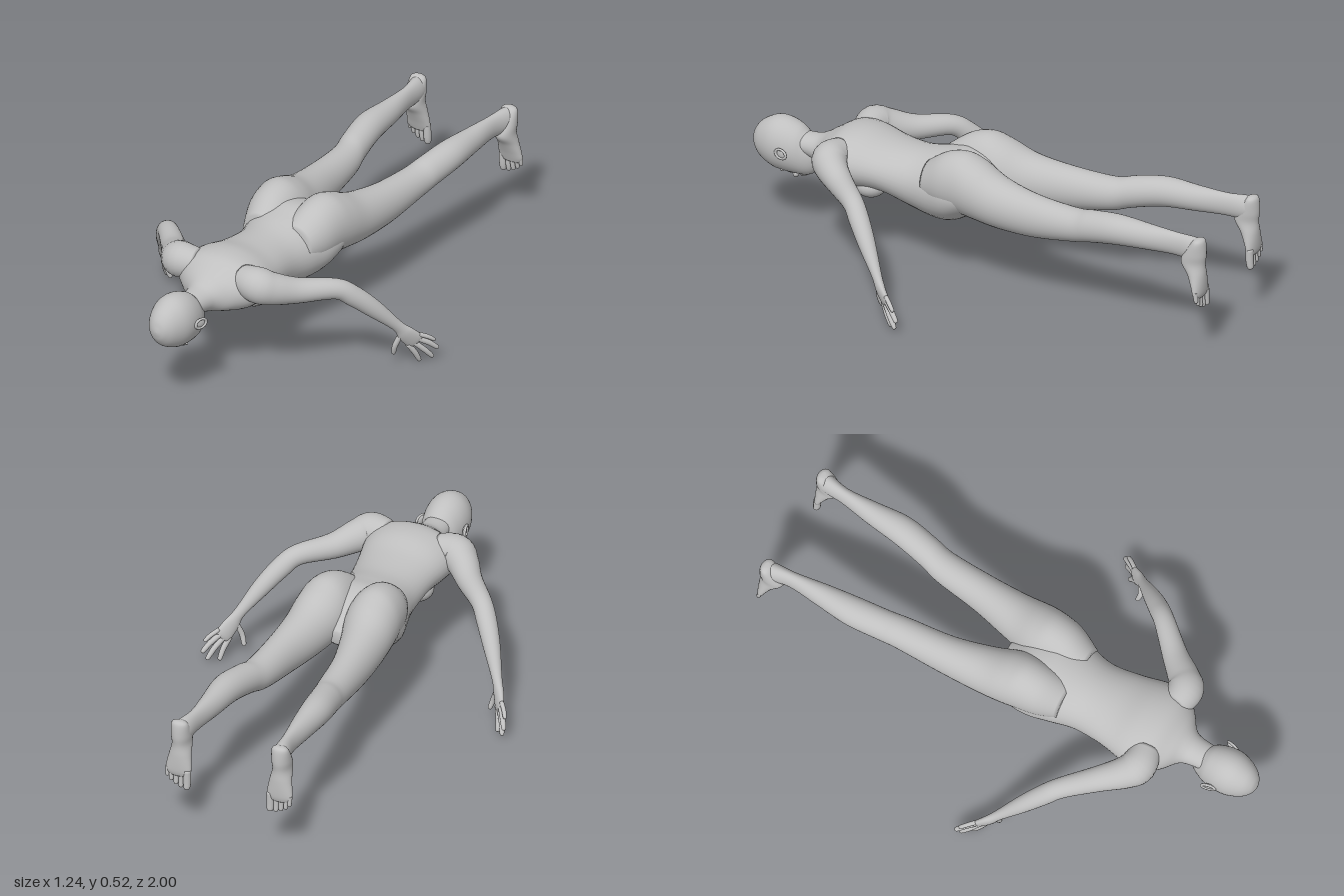
import * as THREE from 'three';

const V = (x, y, z) => new THREE.Vector3(x, y, z);
const skin = new THREE.MeshStandardMaterial({ color: 0xc0c0c0 });
skin.name = 'skin grey';

// Catmull-Rom blend of whole station rows
function refine(rows, sub) {
  const out = [];
  const at = (i) => rows[Math.min(Math.max(i, 0), rows.length - 1)];
  for (let i = 0; i < rows.length - 1; i++) {
    for (let k = 0; k < sub; k++) {
      const t = k / sub, [p, a, b, n] = [at(i - 1), at(i), at(i + 1), at(i + 2)];
      out.push(a.map((_, j) => 0.5 * (2 * a[j] + (b[j] - p[j]) * t
        + (2 * p[j] - 5 * a[j] + 4 * b[j] - n[j]) * t * t
        + (3 * a[j] - p[j] - 3 * b[j] + n[j]) * t * t * t)));
    }
  }
  out.push(at(rows.length - 1));
  return out;
}

// Closed smooth skin over elliptical stations [x, y, z, sideRadius, upRadius]
function loft(name, stations, ref, axis, seg = 28, sub = 5) {
  const rows = refine(stations, sub), pos = [], idx = [], last = rows.length - 1;
  const centre = rows.map((r) => V(r[0], r[1], r[2]));
  rows.forEach((r, i) => {
    const t = axis ? axis.clone()
      : centre[Math.min(i + 1, last)].clone().sub(centre[Math.max(i - 1, 0)]).normalize();
    const s = ref.clone().addScaledVector(t, -ref.dot(t)).normalize();
    const u = t.clone().cross(s);
    for (let j = 0; j < seg; j++) {
      const a = (j / seg) * Math.PI * 2;
      const p = centre[i].clone()
        .addScaledVector(s, Math.cos(a) * Math.max(r[3], 0.001))
        .addScaledVector(u, Math.sin(a) * Math.max(r[4], 0.001));
      pos.push(p.x, p.y, p.z);
      const n = (j + 1) % seg, b = i * seg;
      if (i < last) idx.push(b + j, b + n, b + seg + j, b + n, b + seg + n, b + seg + j);
    }
  });
  // end caps
  const c0 = pos.length / 3, b = last * seg;
  pos.push(...centre[0].toArray(), ...centre[last].toArray());
  for (let j = 0; j < seg; j++) {
    const n = (j + 1) % seg;
    idx.push(c0, n, j, c0 + 1, b + j, b + n);
  }
  const g = new THREE.BufferGeometry();
  g.setAttribute('position', new THREE.Float32BufferAttribute(pos, 3));
  g.setIndex(idx);
  g.computeVertexNormals();
  const m = new THREE.Mesh(g, skin);
  m.name = name;
  return m;
}

// Loft along z from rows [z, centreX, halfWidth, top, bottom]
function bodyLoft(name, rows, k = 1) {
  const st = rows.map(([z, x, w, top, bot]) => [x * k, (top + bot) / 2, z, w, (top - bot) / 2]);
  return loft(name, st, V(1, 0, 0), V(0, 0, 1), 36);
}

// Tapered finger or toe through three points
function digit(name, a, b, c, r, ref) {
  const tip = c.map((v, i) => v + (b[i] - v) * 0.14);
  return loft(name, [[...a, r, r], [...b, r, r], [...tip, r * 0.8, r * 0.8], [...c, r * 0.15, r * 0.15]], ref, null, 12, 4);
}

function ellipsoid(name, p, s) {
  const m = new THREE.Mesh(new THREE.SphereGeometry(1, 24, 16), skin);
  m.name = name;
  m.position.set(...p);
  m.scale.set(...s);
  return m;
}

function makeArm(k) {
  const arm = new THREE.Group();
  arm.name = k > 0 ? 'leftArm' : 'rightArm';
  const across = V(-0.57 * k, -0.66, 0.48);
  const flip = ([x, ...rest]) => [x * k, ...rest];
  arm.add(loft('armAndPalm', [
    [0.10, 0.410, 0.585, 0.055, 0.055], [0.17, 0.408, 0.592, 0.068, 0.068],
    [0.215, 0.392, 0.56, 0.062, 0.06], [0.28, 0.372, 0.485, 0.048, 0.048],
    [0.375, 0.364, 0.385, 0.039, 0.039], [0.42, 0.325, 0.335, 0.039, 0.038],
    [0.47, 0.26, 0.275, 0.034, 0.032], [0.525, 0.175, 0.205, 0.022, 0.019],
    [0.545, 0.135, 0.178, 0.032, 0.017], [0.563, 0.10, 0.148, 0.035, 0.013],
    [0.569, 0.089, 0.139, 0.028, 0.008],
  ].map(flip), across));
  const fingers = {
    indexFinger: [[0.546, 0.085, 0.165], [0.561, 0.045, 0.142], [0.568, 0.003, 0.12]],
    middleFinger: [[0.557, 0.096, 0.154], [0.585, 0.055, 0.118], [0.603, 0.015, 0.086]],
    ringFinger: [[0.568, 0.109, 0.144], [0.597, 0.08, 0.103], [0.617, 0.05, 0.072]],
    littleFinger: [[0.577, 0.124, 0.137], [0.599, 0.108, 0.11], [0.614, 0.09, 0.088]],
    thumb: [[0.535, 0.14, 0.188], [0.514, 0.088, 0.2], [0.5, 0.043, 0.193]],
  };
  for (const [n, pts] of Object.entries(fingers)) {
    arm.add(digit(n, ...pts.map(flip), n === 'littleFinger' ? 0.0085 : 0.0105, across));
  }
  return arm;
}

function makeLeg(k) {
  const leg = new THREE.Group();
  leg.name = k > 0 ? 'leftLeg' : 'rightLeg';
  leg.add(bodyLoft('legAndButtock', [
    [-0.99, 0.205, 0.012, 0.43, 0.39], [-0.98, 0.205, 0.03, 0.452, 0.37],
    [-0.95, 0.2, 0.033, 0.46, 0.362], [-0.87, 0.19, 0.027, 0.457, 0.367],
    [-0.75, 0.185, 0.042, 0.46, 0.36], [-0.62, 0.182, 0.056, 0.465, 0.35],
    [-0.5, 0.165, 0.058, 0.448, 0.325], [-0.42, 0.15, 0.061, 0.432, 0.303],
    [-0.25, 0.137, 0.07, 0.44, 0.276], [-0.1, 0.118, 0.088, 0.465, 0.27],
    [0, 0.104, 0.102, 0.507, 0.277], [0.07, 0.1, 0.1, 0.526, 0.285],
    [0.15, 0.095, 0.09, 0.506, 0.29], [0.23, 0.08, 0.07, 0.45, 0.3],
  ], k));
  leg.add(loft('foot', [
    [0.205, 0.463, -0.972, 0.012, 0.008], [0.205, 0.45, -0.97, 0.032, 0.024],
    [0.205, 0.40, -0.956, 0.037, 0.043], [0.205, 0.36, -0.947, 0.036, 0.048],
    [0.205, 0.32, -0.962, 0.042, 0.035], [0.206, 0.28, -0.972, 0.049, 0.025],
    [0.207, 0.25, -0.977, 0.051, 0.018], [0.207, 0.232, -0.978, 0.04, 0.012],
  ].map(([x, ...r]) => [x * k, ...r]), V(1, 0, 0), V(0, -1, 0)));
  [[0.17, 0.18, 0.0145], [0.194, 0.183, 0.0105], [0.214, 0.191, 0.01],
    [0.233, 0.203, 0.0095], [0.249, 0.219, 0.009]].forEach(([x, y, r], i) => {
    leg.add(digit('toe' + (i + 1), [x * k, 0.26, -0.978], [x * k, y + 0.03, -0.979],
      [x * k, y, -0.983], r, V(1, 0, 0)));
  });
  return leg;
}

function makeHead() {
  const head = new THREE.Group();
  head.name = 'head';
  head.add(bodyLoft('skull', [
    [0.725, 0, 0.015, 0.36, 0.29], [0.735, 0, 0.03, 0.37, 0.262],
    [0.755, 0, 0.046, 0.385, 0.24], [0.78, 0, 0.06, 0.402, 0.231],
    [0.81, 0, 0.074, 0.425, 0.23], [0.86, 0, 0.084, 0.443, 0.232],
    [0.91, 0, 0.081, 0.442, 0.24], [0.96, 0, 0.06, 0.416, 0.266],
    [0.987, 0, 0.036, 0.385, 0.297], [0.997, 0, 0.016, 0.357, 0.321],
    [1, 0, 0.002, 0.34, 0.336],
  ]));
  // nose and lips on the downward face
  head.add(ellipsoid('noseBridge', [0, 0.231, 0.845], [0.009, 0.011, 0.03]));
  head.add(ellipsoid('noseTip', [0, 0.222, 0.828], [0.014, 0.014, 0.012]));
  head.add(ellipsoid('upperLip', [0, 0.23, 0.796], [0.021, 0.008, 0.006]));
  head.add(ellipsoid('lowerLip', [0, 0.231, 0.786], [0.018, 0.008, 0.006]));
  for (const k of [1, -1]) {
    head.add(ellipsoid('eye', [0.034 * k, 0.246, 0.865], [0.015, 0.007, 0.008]));
    // ear: shallow bowl with a raised rim
    const ear = new THREE.Group();
    ear.name = 'ear';
    ear.position.set(0.087 * k, 0.335, 0.842);
    ear.rotation.y = -0.25 * k;
    ear.add(ellipsoid('earBowl', [0, 0, 0], [0.007, 0.018, 0.026]));
    const rim = new THREE.Mesh(new THREE.TorusGeometry(0.02, 0.005, 10, 28), skin);
    rim.name = 'earRim';
    rim.rotation.y = Math.PI / 2;
    rim.scale.set(1.25, 0.9, 1);
    rim.position.x = 0.005 * k;
    ear.add(rim);
    head.add(ear);
  }
  return head;
}

export function createModel() {
  const model = new THREE.Group();
  model.name = 'lyingFigure';
  model.add(bodyLoft('torsoAndNeck', [
    [-0.06, 0, 0.03, 0.38, 0.33], [-0.02, 0, 0.11, 0.42, 0.30],
    [0.04, 0, 0.185, 0.465, 0.268], [0.12, 0, 0.187, 0.485, 0.218],
    [0.2, 0, 0.164, 0.472, 0.206], [0.3, 0, 0.141, 0.455, 0.224],
    [0.42, 0, 0.152, 0.46, 0.264], [0.52, 0, 0.173, 0.482, 0.264],
    [0.6, 0, 0.18, 0.478, 0.272], [0.66, 0, 0.125, 0.445, 0.285],
    [0.7, 0, 0.073, 0.42, 0.297], [0.74, 0, 0.056, 0.405, 0.308],
    [0.82, 0, 0.05, 0.40, 0.325],
  ]));
  model.add(makeHead());
  for (const k of [1, -1]) {
    model.add(ellipsoid('breast', [0.075 * k, 0.292, 0.475], [0.058, 0.047, 0.062]));
    model.add(makeArm(k), makeLeg(k));
  }
  return model;
}
